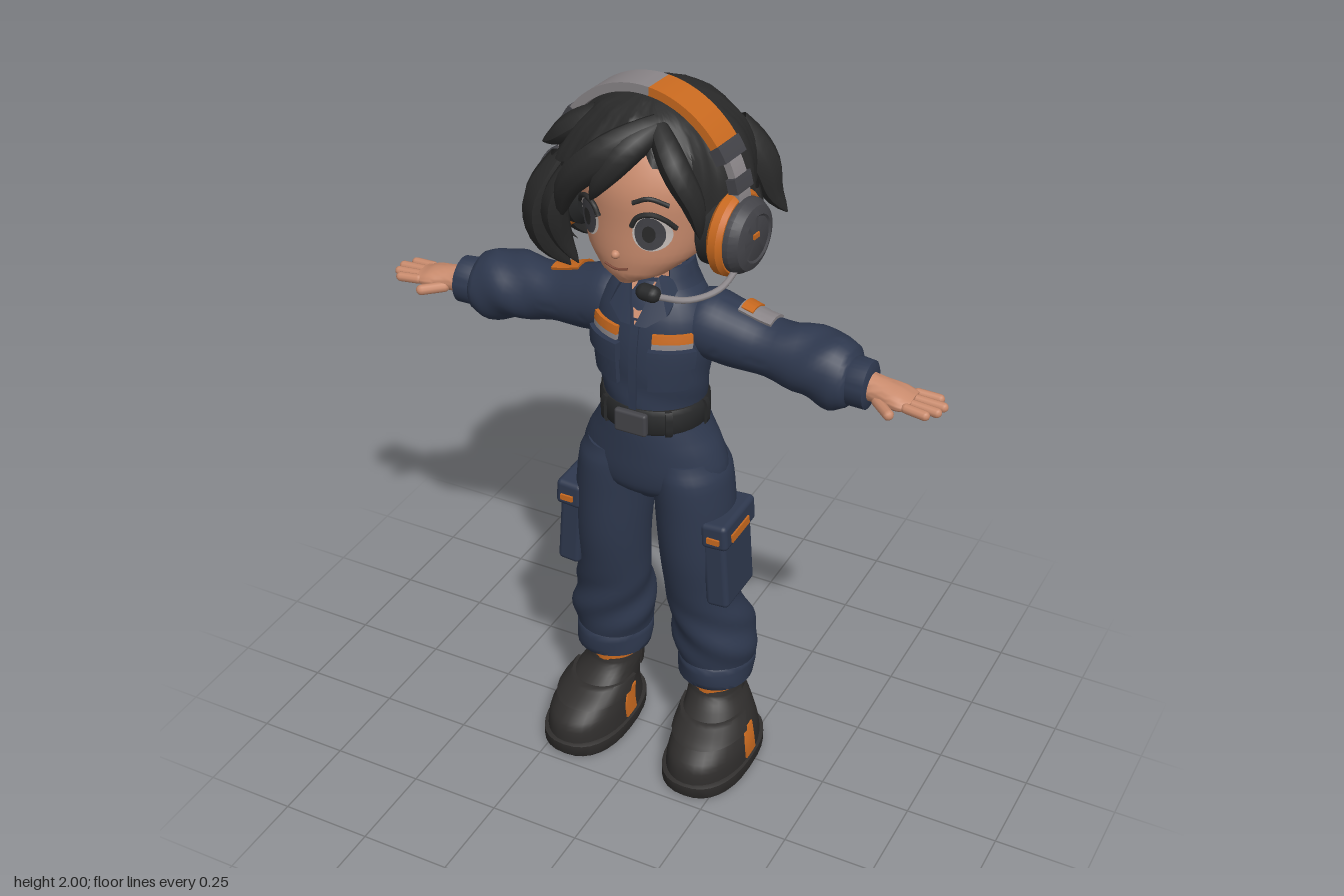
import * as THREE from 'three';
import { toCreasedNormals } from 'three/addons/utils/BufferGeometryUtils.js';
import { RoundedBoxGeometry } from 'three/addons/geometries/RoundedBoxGeometry.js';

const { sin, cos, abs, sign, sqrt, PI } = Math;
const V = (p) => new THREE.Vector3(...p);
const mat = (name, color) => Object.assign(new THREE.MeshStandardMaterial({ color, side: THREE.DoubleSide }), { name });
const M = {
  skin: mat('skin', 0xc98b6d), hair: mat('hair', 0x2a2a2a), navy: mat('navy cloth', 0x2e384e),
  belt: mat('belt black', 0x272829), orange: mat('orange', 0xc8691f), grey: mat('light grey', 0x8a8588),
  graphite: mat('graphite', 0x434348), boot: mat('boot leather', 0x2f2d2c),
  white: mat('eye white', 0xc4bcb8), line: mat('mouth brown', 0x7d4a3a),
};

function add(parent, name, geo, material) {
  const m = new THREE.Mesh(geo, material);
  m.name = name;
  parent.add(m);
  return m;
}
function mirrored(geo) {
  const g = geo.clone().scale(-1, 1, 1);
  const idx = g.index ? [...g.index.array] : [...Array(g.attributes.position.count).keys()];
  g.setIndex(idx.reverse());
  g.clearGroups();
  return g;
}
function both(parent, name, geo, material) {
  add(parent, name + 'Left', geo, material);
  add(parent, name + 'Right', mirrored(geo), material);
}

// Surface from a grid of points; rows run upward, columns run counterclockwise
function grid(rows, cols, fn, closed) {
  const pos = [], idx = [];
  for (let i = 0; i < rows; i++) for (let j = 0; j < cols; j++) pos.push(...fn(i, j));
  for (let i = 0; i < rows - 1; i++) for (let j = 0; j < (closed ? cols : cols - 1); j++) {
    const a = i * cols + j, b = i * cols + (j + 1) % cols;
    idx.push(a, b, a + cols, b, b + cols, a + cols);
  }
  const g = new THREE.BufferGeometry();
  g.setAttribute('position', new THREE.Float32BufferAttribute(pos, 3));
  g.setIndex(idx);
  return toCreasedNormals(g, 0.8);
}
// Sections are [y, centreX, centreZ, radiusX, radiusZ], listed upward
function smooth(secs, k = 4) {
  const out = [], S = (i) => secs[Math.min(Math.max(i, 0), secs.length - 1)];
  for (let i = 0; i < secs.length - 1; i++) for (let q = 0; q < k; q++) {
    const t = q / k;
    out.push(S(i).map((p1, c) => {
      const p0 = S(i - 1)[c], p2 = S(i + 1)[c], p3 = S(i + 2)[c];
      return c === 0 ? p1 + (p2 - p1) * t
        : 0.5 * (2 * p1 + (p2 - p0) * t + (2 * p0 - 5 * p1 + 4 * p2 - p3) * t * t + (3 * p1 - p0 - 3 * p2 + p3) * t ** 3);
    }));
  }
  return [...out, S(secs.length - 1)];
}
function at(S, y) {
  let i = 0;
  while (i < S.length - 2 && S[i + 1][0] < y) i++;
  const t = THREE.MathUtils.clamp((y - S[i][0]) / (S[i + 1][0] - S[i][0]), 0, 1);
  return S[i].map((v, c) => v + (S[i + 1][c] - v) * t);
}
const pw = (v, p) => sign(v) * abs(v) ** (2 / p);
const ringPoint = (s, a, off, p = 2, k = 1) =>
  [s[1] + (s[3] + off) * k * pw(sin(a), p), s[0], s[2] + (s[4] + off) * k * pw(cos(a), p)];
function loft(S, { n = 32, p = 2, bump = () => 0 } = {}) {
  return grid(S.length + 2, n, (i, j) => {
    const s = S[Math.min(Math.max(i - 1, 0), S.length - 1)], a = j / n * 2 * PI;
    return ringPoint(s, a, bump(a, s[0]), p, i === 0 || i === S.length + 1 ? 0 : 1);
  }, true);
}
// Raised panel that follows a loft
function patch(S, y0, y1, a0, a1, off, p = 2, m = 6, n = 12) {
  return grid(m + 3, n + 3, (i, j) => {
    const t = THREE.MathUtils.clamp((i - 1) / m, 0, 1), u = THREE.MathUtils.clamp((j - 1) / n, 0, 1);
    const edge = i === 0 || j === 0 || i === m + 2 || j === n + 2;
    return ringPoint(at(S, y0 + (y1 - y0) * t), a0 + (a1 - a0) * u, edge ? -0.003 : off, p);
  });
}
const frontZ = (S, x, y) => { const s = at(S, y); return s[2] + s[4] * sqrt(Math.max(0, 1 - ((x - s[1]) / s[3]) ** 2)); };
function drape(geo, S, off) {
  const P = geo.attributes.position;
  for (let i = 0; i < P.count; i++) P.setZ(i, P.getZ(i) + frontZ(S, P.getX(i), P.getY(i)) + off);
  geo.computeVertexNormals();
  return geo;
}
const polygon = (pts) => new THREE.Shape(pts.map((p) => new THREE.Vector2(...p)));
const curve = (pts) => new THREE.CatmullRomCurve3(pts.map(V));
const tube = (pts, r) => new THREE.TubeGeometry(curve(pts), 16, r, 8);
// Tube thinned toward its tip
function lock(pts, r) {
  const c = curve(pts), g = new THREE.TubeGeometry(c, 12, r, 8), P = g.attributes.position;
  for (let i = 0; i < P.count; i++) {
    const t = Math.floor(i / 9) / 12, o = c.getPointAt(t), k = 0.05 + 0.95 * sin(PI * (0.2 + 0.8 * t)) ** 0.8;
    const v = new THREE.Vector3().fromBufferAttribute(P, i).sub(o).multiplyScalar(k).add(o);
    P.setXYZ(i, v.x, v.y, v.z);
  }
  g.computeVertexNormals();
  return g;
}

const torso = smooth([[1.1, 0, .028, .132, .118], [1.17, 0, .028, .135, .12], [1.25, 0, .027, .147, .122],
  [1.33, 0, .023, .157, .122], [1.4, 0, .015, .15, .115], [1.45, 0, .008, .12, .1], [1.49, 0, .005, .07, .075]]);
const pelvis = smooth([[.85, 0, .02, .05, .06], [.9, 0, .025, .17, .11], [.95, 0, .025, .2, .124],
  [1.02, 0, .025, .182, .126], [1.08, 0, .027, .15, .124], [1.12, 0, .028, .135, .12]]);
const leg = smooth([[.3, .157, -.03, .1, .1], [.38, .155, -.028, .115, .116], [.46, .147, -.014, .108, .108],
  [.55, .132, .012, .1, .096], [.7, .124, .028, .1, .106], [.85, .115, .025, .103, .118], [.95, .105, .025, .1, .12], [1.0, .09, .025, .09, .11]]);
const sleeve = smooth([[.06, -.02, -.005, .07, .08], [.13, -.035, -.005, .09, .088], [.2, -.022, -.008, .087, .083], [.3, -.005, -.012, .075, .076],
  [.41, .005, -.012, .088, .09], [.475, .015, -.01, .094, .094], [.515, .015, -.003, .078, .078], [.53, .015, 0, .058, .058]]);
const boot = smooth([[.035, .185, .04, .11, .182], [.09, .185, .04, .105, .172], [.13, .18, .02, .095, .145],
  [.17, .168, -.015, .082, .108], [.2, .157, -.034, .073, .088], [.225, .155, -.038, .07, .08]]);
const shaft = smooth([[.17, .157, -.035, .068, .08], [.28, .155, -.038, .07, .08]]);
const face = smooth([[1.525, 0, .13, .03, .04], [1.55, 0, .102, .088, .082], [1.6, 0, .055, .145, .138],
  [1.68, 0, .02, .175, .175], [1.78, 0, .01, .185, .186], [1.87, 0, 0, .15, .16], [1.93, 0, 0, .08, .09]]);
const hairForm = smooth([[1.46, -.015, -.035, .16, .11], [1.54, -.022, -.012, .24, .2], [1.6, -.025, 0, .263, .238], [1.7, -.02, 0, .258, .248],
  [1.8, -.01, 0, .243, .238], [1.88, 0, 0, .2, .2], [1.94, 0, 0, .135, .14], [1.965, 0, 0, .07, .08], [1.978, 0, 0, .003, .003]]);

function buildBody(root) {
  const fold = (amp, y0, w) => (a, y) => amp * sin(a * 3 + y * 45) * Math.exp(-(((y - y0) / w) ** 2));
  add(root, 'torso', loft(torso, { bump: fold(.003, 1.2, .06) }), M.navy);
  add(root, 'hips', loft(pelvis), M.navy);
  add(root, 'placket', patch(torso, 1.16, 1.41, -.07, .07, .006), M.navy);
  both(root, 'chestPocket', patch(torso, 1.225, 1.32, .28, .98, .011), M.navy);
  both(root, 'chestPocketFlap', patch(torso, 1.29, 1.338, .25, 1.02, .018), M.navy);
  both(root, 'chestTag', patch(torso, 1.356, 1.378, .3, .98, .009), M.orange);
  both(root, 'chestTagTrim', patch(torso, 1.342, 1.356, .3, .98, .008), M.grey);
  // Belt
  const belt = [[1.09, 0, .028, .136, .124], [1.1, 0, .028, .143, .13], [1.15, 0, .028, .143, .13], [1.162, 0, .028, .136, .124]];
  add(root, 'belt', loft(belt), M.belt);
  add(root, 'buckle', new RoundedBoxGeometry(.09, .064, .02, 2, .008).translate(0, 1.127, .16), M.graphite);
  for (const a of [.68, 1.57, 2.7]) both(root, 'beltLoop', patch(belt, 1.085, 1.168, a - .06, a + .06, .008), M.belt);
  // Collar, neck and open throat
  add(root, 'neck', new THREE.CylinderGeometry(.05, .058, .2, 20).translate(0, 1.5, .005), M.skin);
  add(root, 'throat', drape(new THREE.ShapeGeometry(polygon([[-.04, 1.49], [0, 1.395], [.04, 1.49]])), torso, .009), M.skin);
  const collarForm = [[1.44, 0, 0, .108, .1], [1.48, 0, -.005, .086, .085], [1.52, 0, -.01, .074, .072]];
  add(root, 'collar', patch(collarForm, 1.44, 1.52, .7, 2 * PI - .7, .007, 2, 6, 28), M.navy);
  const leaf = new THREE.ExtrudeGeometry(polygon([[.04, 1.512], [.006, 1.4], [.035, 1.4], [.078, 1.428], [.082, 1.48]]), { depth: .012, bevelEnabled: false });
  both(root, 'collarLeaf', toCreasedNormals(drape(leaf, torso, .008), .6), M.navy);
  // Trouser legs with rolled cuffs and cargo pockets
  both(root, 'trouserLeg', loft(leg, { bump: fold(.006, .43, .1) }), M.navy);
  both(root, 'trouserCuff', loft(smooth([[.252, .157, -.03, .088, .092], [.262, .157, -.03, .102, .108], [.325, .157, -.03, .105, .11], [.342, .157, -.03, .092, .1]]), { bump: fold(.002, .3, .1) }), M.navy);
  const pocketBox = (w, h, d, x, y, z) => new RoundedBoxGeometry(w, h, d, 3, .014).rotateZ(.07).translate(x, y, z);
  both(root, 'cargoPocket', pocketBox(.065, .24, .165, .213, .705, .03), M.navy);
  both(root, 'cargoFlap', pocketBox(.075, .075, .182, .211, .81, .03), M.navy);
  both(root, 'cargoTab', new THREE.BoxGeometry(.008, .022, .1).rotateZ(.07).translate(.25, .803, .04), M.orange);
  both(root, 'cargoFrontTab', new THREE.BoxGeometry(.035, .016, .008).translate(.213, .803, .123), M.orange);
  // Boots
  const sole = [[0, .185, .04, .112, .182], [.01, .185, .04, .116, .19], [.04, .185, .04, .116, .19], [.045, .185, .04, .105, .178]];
  both(root, 'sole', loft(sole, { p: 2.4 }), M.boot);
  both(root, 'bootUpper', loft(boot, { p: 2.2 }), M.boot);
  both(root, 'bootStrap', patch(boot, .128, .165, -1.5, 1.5, .009, 2.2), M.boot);
  both(root, 'ankleSock', loft(shaft), M.orange);
  both(root, 'bootHeelShaft', patch(shaft, .17, .27, 1.65, 2 * PI - 1.65, .007), M.boot);
  both(root, 'heelStripe', patch(shaft, .18, .268, PI - .3, PI + .3, .011), M.orange);
  for (const a of [1.62, -1.62]) both(root, 'bootSideStripe', patch(boot, .05, .128, a - .13, a + .13, .004, 2.2), M.orange);
}

function buildArms(root) {
  const toArm = (g) => g.rotateZ(-PI / 2).translate(0, 1.33, 0);
  both(root, 'sleeve', toArm(loft(sleeve, { bump: (a, t) => .004 * sin(a * 3 + t * 50) * Math.exp(-(((t - .42) / .1) ** 2)) })), M.navy);
  both(root, 'sleeveCuff', toArm(loft([[.51, .015, .006, .058, .056], [.52, .015, .006, .064, .06], [.568, .017, .008, .062, .058], [.574, .017, .008, .05, .048]])), M.navy);
  add(root, 'greySleevePatch', toArm(patch(sleeve, .22, .305, -2.3, -1.25, .007)), M.grey);
  add(root, 'greySleevePatchStripe', toArm(patch(sleeve, .225, .255, -2.2, -1.35, .011)), M.orange);
  add(root, 'orangeSleevePatch', mirrored(toArm(patch(sleeve, .225, .305, -2.5, -1.3, .007))), M.orange);
  // Hands: palm, four fingers and a thumb
  both(root, 'palm', toArm(loft(smooth([[.55, .015, .01, .036, .038], [.6, .018, .015, .032, .04], [.65, .022, .018, .026, .05], [.685, .025, .018, .016, .045]]))), M.skin);
  [[-.02, .055, -.05], [.006, .075, 0], [.032, .07, .05], [.056, .05, .12]].forEach(([z, len, turn]) =>
    both(root, 'finger', new THREE.CapsuleGeometry(.0125, len, 4, 10).rotateZ(-PI / 2).translate(len / 2, 0, 0)
      .rotateZ(-.05).rotateY(-turn).translate(.678, 1.307, z), M.skin));
  both(root, 'thumb', new THREE.CapsuleGeometry(.014, .06, 4, 10).rotateZ(-PI / 2).rotateY(-.75).translate(.625, 1.3, .07), M.skin);
}

function buildFace(head) {
  add(head, 'face', loft(face, { n: 40 }), M.skin);
  add(head, 'nose', new THREE.SphereGeometry(.014, 14, 10).scale(.8, .8, 1).translate(0, 1.612, .193), M.skin);
  const disc = (x, y, rx, ry, off) => drape(new THREE.CircleGeometry(1, 28).scale(rx, ry, 1).translate(x, y, 0), face, off);
  const stroke = (pts, r) => tube(pts.map(([x, y]) => [x, y, frontZ(face, x, y) + .006]), r);
  both(head, 'eyeWhite', disc(.088, 1.682, .041, .046, .005), M.white);
  both(head, 'iris', disc(.086, 1.684, .032, .044, .008), M.graphite);
  both(head, 'pupil', disc(.086, 1.684, .014, .022, .011), M.hair);
  both(head, 'eyelash', stroke([[.046, 1.7], [.06, 1.725], [.088, 1.735], [.115, 1.722], [.135, 1.695]], .0065), M.hair);
  both(head, 'eyebrow', stroke([[.05, 1.762], [.085, 1.775], [.125, 1.757]], .006), M.hair);
  add(head, 'mouth', stroke([[-.032, 1.58], [0, 1.574], [.032, 1.58]], .003), M.line);
}

function buildHair(root) {
  // Hemline height by angle from the front, rising over the parted fringe
  const hem = [[-PI, 1.48], [-2.2, 1.48], [-1.6, 1.52], [-1.1, 1.5], [-.85, 1.53], [-.68, 1.7], [-.4, 1.765], [-.08, 1.83], [.2, 1.885],
    [.5, 1.84], [.75, 1.74], [.95, 1.67], [1.2, 1.69], [1.6, 1.6], [1.95, 1.53], [2.4, 1.48], [PI, 1.48]];
  const rows = 22, n = 144;
  add(root, 'hairShell', grid(rows, n, (i, j) => {
    const a = j / n * 2 * PI - PI, v = 1 - i / (rows - 1);
    const low = at(hem, a)[1] + (abs(a) > .8 ? .04 : .015) * abs(sin(a * 7 + .4));
    const y = 1.978 - (1.978 - low) * (1 - cos(v * PI / 2)) ** .9;
    const groove = -.016 * v * abs(sin(a * 7 + .4 + (1.9 - y) * 1.2)) - .005 * v * abs(sin(a * 19 + y * 5));
    return ringPoint(at(hairForm, y), a, groove);
  }, true), M.hair);
  const locks = [
    [[[-.17, 1.8, .1], [-.25, 1.7, .11], [-.27, 1.64, .11], [-.315, 1.6, .1]], .045],
    [[[-.19, 1.8, .13], [-.24, 1.68, .15], [-.235, 1.58, .14], [-.19, 1.5, .11]], .05],
    [[[-.15, 1.8, .17], [-.185, 1.7, .185], [-.18, 1.6, .16], [-.15, 1.53, .14]], .035],
    [[[.06, 1.93, .12], [-.04, 1.87, .2], [-.13, 1.78, .21], [-.17, 1.67, .19]], .045],
    [[[.06, 1.93, .13], [.01, 1.88, .2], [-.04, 1.81, .225], [-.07, 1.755, .22]], .035],
    [[[.06, 1.93, .13], [.13, 1.86, .18], [.175, 1.77, .17], [.18, 1.68, .15]], .035],
    [[[-.13, 1.9, .06], [-.2, 1.85, .08], [-.24, 1.82, .08], [-.275, 1.8, .08]], .035],
    [[[.13, 1.85, -.14], [.19, 1.74, -.17], [.215, 1.66, -.18], [.25, 1.61, -.19]], .045],
    [[[-.13, 1.85, -.12], [-.22, 1.7, -.13], [-.25, 1.6, -.13], [-.28, 1.54, -.13]], .045],
  ];
  for (const [pts, r] of locks) add(root, 'hairLock', lock(pts, r), M.hair);
  // Ragged locks around the nape
  for (let k = 0; k < 9; k++) {
    const a = 1.95 + k * .33, tip = 1.475 + .02 * (k % 3);
    const pts = [1.72, 1.62, 1.55, tip].map((y) => ringPoint(at(hairForm, y), a + (1.72 - y) * .3, -.03));
    add(root, 'napeLock', lock(pts, .045), M.hair);
  }
}

function buildHeadset(head) {
  const band = (a0, a1, width, thick, grow = 0) => {
    const pts = [], n = 20, arc = (k, d) => { const a = a0 + (a1 - a0) * k / n; pts.push([(.258 + d) * cos(a), 1.73 + (.268 + d) * sin(a)]); };
    for (let k = 0; k <= n; k++) arc(k, grow);
    for (let k = n; k >= 0; k--) arc(k, grow - thick);
    return toCreasedNormals(new THREE.ExtrudeGeometry(polygon(pts), { depth: width, bevelEnabled: false }).translate(0, 0, .035 - width / 2), .5);
  };
  add(head, 'bandOrange', band(.62, 1.5, .085, .022), M.orange);
  add(head, 'bandGrey', band(1.5, PI - .62, .085, .022), M.grey);
  both(head, 'bandClip', band(.5, .66, .09, .03, .004), M.graphite);
  both(head, 'bandArm', band(.1, .52, .05, .02), M.grey);
  both(head, 'bandHinge', band(.2, .34, .07, .026, .004), M.graphite);
  // Ear cups turned about the x axis
  const cup = (pts) => toCreasedNormals(new THREE.LatheGeometry(pts.map((p) => new THREE.Vector2(...p)), 32).rotateZ(-PI / 2).translate(0, 1.67, .04), .6);
  both(head, 'earCushion', cup([[0, .165], [.07, .165], [.09, .18], [.09, .21], [.07, .225], [0, .225]]), M.belt);
  both(head, 'earRing', cup([[0, .212], [.095, .212], [.106, .222], [.106, .242], [.097, .254], [0, .254]]), M.orange);
  both(head, 'earShell', cup([[0, .25], [.093, .25], [.093, .268], [.08, .288], [.06, .296], [.055, .292], [0, .292]]), M.graphite);
  both(head, 'earMark', new THREE.BoxGeometry(.006, .012, .024).translate(.294, 1.68, .045), M.orange);
  // Boom microphone
  add(head, 'micBoom', tube([[.27, 1.61, .08], [.25, 1.565, .13], [.2, 1.548, .19], [.12, 1.55, .222]], .008), M.grey);
  add(head, 'microphone', new THREE.CapsuleGeometry(.021, .022, 6, 14).rotateZ(PI / 2).translate(.11, 1.555, .222), M.belt);
}

export function createModel() {
  const root = new THREE.Group();
  root.name = 'pilotFigure';
  const head = new THREE.Group();
  head.name = 'head';
  head.rotation.y = -.1;
  root.add(head);
  buildBody(root);
  buildArms(root);
  buildFace(head);
  buildHair(root);
  buildHeadset(head);
  return root;
}
